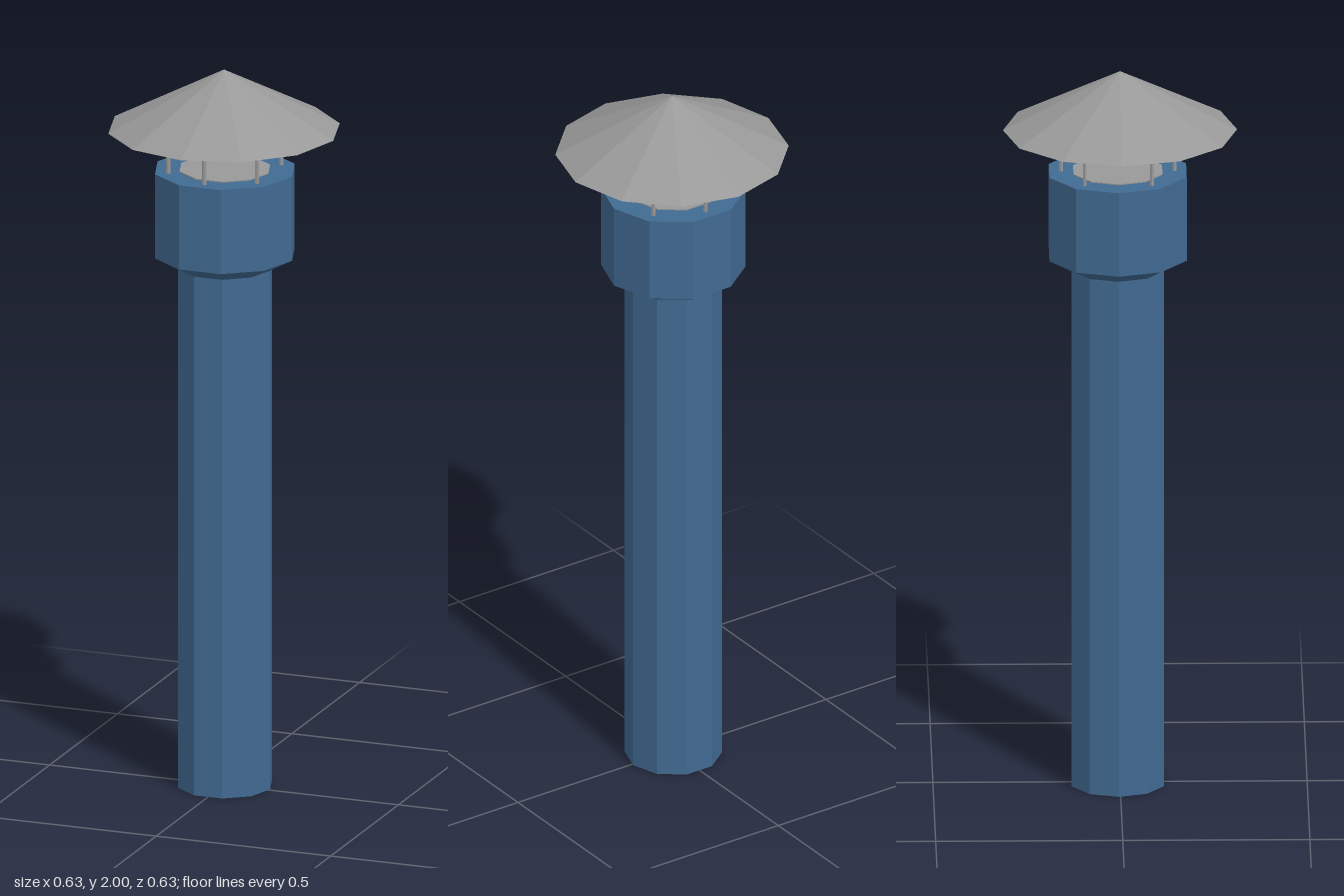
import * as THREE from 'three';

export function createModel() {
  const group = new THREE.Group();
  const blue = new THREE.MeshStandardMaterial({ color: 0x416a92, flatShading: true });
  blue.name = 'blue paint';
  const grey = new THREE.MeshStandardMaterial({ color: 0x999999, flatShading: true });
  grey.name = 'grey metal';

  const axisZ = -0.006; // the pipe sits slightly behind the cap's axis

  // Faceted drum from y0 to y1, with a corner on the x axis
  function drum(name, material, rBottom, rTop, y0, y1, sides, z = axisZ, open = false) {
    const geometry = new THREE.CylinderGeometry(rTop, rBottom, y1 - y0, sides, 1, open, Math.PI / 2);
    const mesh = new THREE.Mesh(geometry, material);
    mesh.name = name;
    mesh.position.set(0, (y0 + y1) / 2, z);
    group.add(mesh);
    return mesh;
  }

  // Chimney pipe and its wider collar
  drum('pipe', blue, 0.13, 0.13, 0, 1.45, 10);
  drum('collarFlare', blue, 0.13, 0.193, 1.45, 1.485, 10, axisZ, true);
  drum('collar', blue, 0.193, 0.193, 1.485, 1.72, 10);
  drum('flueMouth', grey, 0.125, 0.125, 1.717, 1.723, 10);

  // Six thin struts carrying the cap
  const struts = [[0, 0.152], [0, -0.152]];
  for (const x of [-0.127, 0.127]) for (const z of [-0.09, 0.09]) struts.push([x, z]);
  for (const [x, z] of struts) {
    drum('capStrut', grey, 0.006, 0.006, 1.71, 1.845, 6, z + axisZ).position.x = x;
  }

  // Conical rain cap
  const cap = new THREE.Mesh(new THREE.ConeGeometry(0.313, 0.165, 12), grey);
  cap.name = 'rainCap';
  cap.position.y = 1.9175;
  group.add(cap);

  return group;
}
